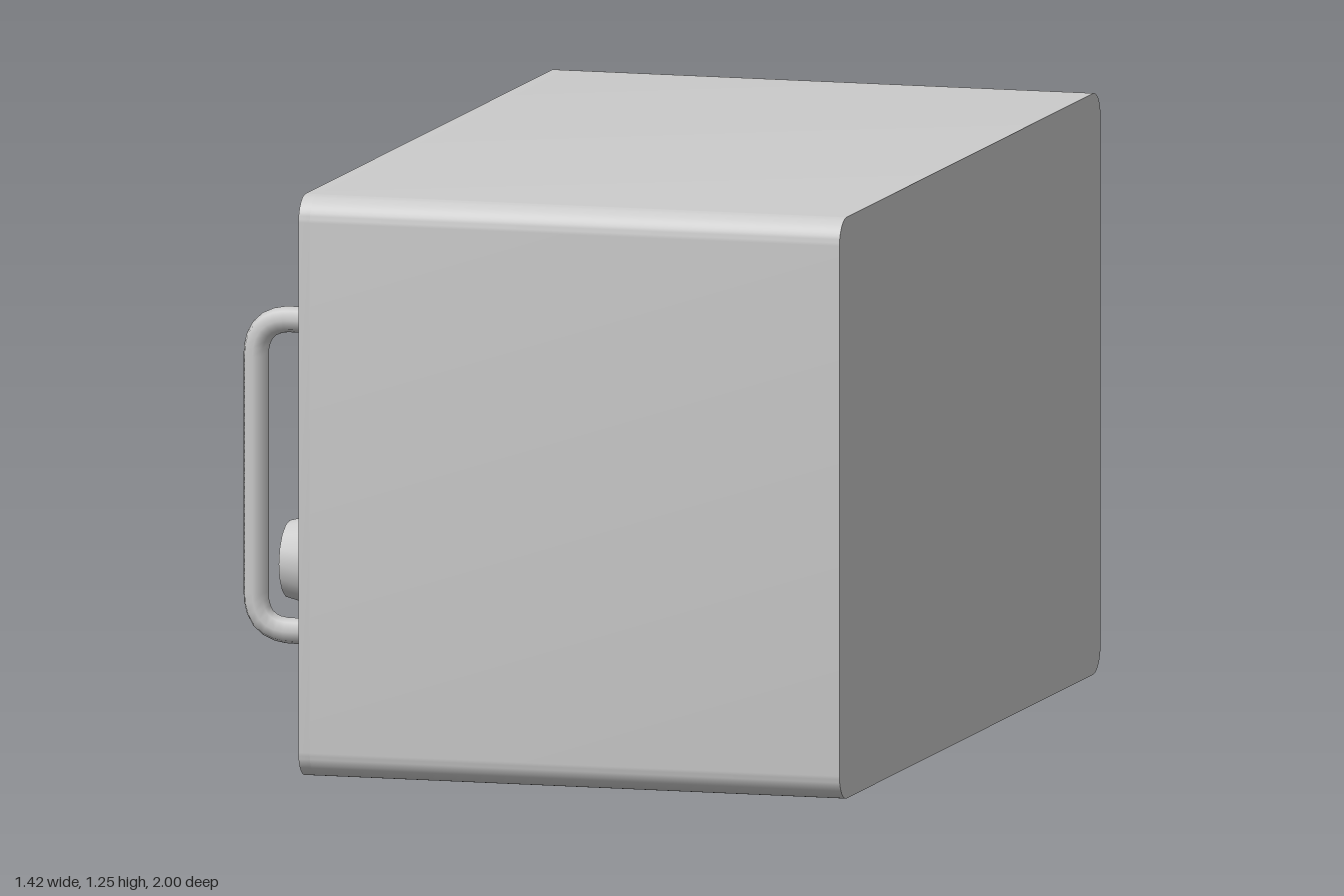
import * as THREE from 'three';
import { toCreasedNormals } from 'three/addons/utils/BufferGeometryUtils.js';

const grey = new THREE.MeshStandardMaterial({ color: 0xcccccc });

function add(parent, name, geometry, x = 0, y = 0, z = 0) {
  const mesh = new THREE.Mesh(geometry, grey);
  mesh.name = name;
  mesh.position.set(x, y, z);
  parent.add(mesh);
  return mesh;
}

// Closed outline of a rectangle with rounded corners
function roundedRect(x0, y0, x1, y1, r) {
  const s = new THREE.Shape();
  s.absarc(x1 - r, y0 + r, r, -Math.PI / 2, 0);
  s.absarc(x1 - r, y1 - r, r, 0, Math.PI / 2);
  s.absarc(x0 + r, y1 - r, r, Math.PI / 2, Math.PI);
  s.absarc(x0 + r, y0 + r, r, Math.PI, Math.PI * 1.5);
  s.closePath();
  return s;
}

function rect(x0, y0, x1, y1) {
  return new THREE.Shape([[x0, y0], [x1, y0], [x1, y1], [x0, y1]].map(p => new THREE.Vector2(...p)));
}

// Extrusion of a shape between two depths, smooth round its curves
function slab(shape, z0, z1, segments = 6, holes = []) {
  shape.holes.push(...holes);
  const g = new THREE.ExtrudeGeometry(shape, { depth: z1 - z0, bevelEnabled: false, curveSegments: segments });
  g.translate(0, 0, z0);
  return toCreasedNormals(g, 0.6);
}

function createHandle(parent, name, x) {
  const V = (y, z) => new THREE.Vector3(x, y, z);
  const low = 0.295, high = 0.965, out = 0.625, r = 0.08;
  const path = new THREE.CurvePath();
  path.add(new THREE.LineCurve3(V(low, 0.46), V(low, out - r)));
  path.add(new THREE.QuadraticBezierCurve3(V(low, out - r), V(low, out), V(low + r, out)));
  path.add(new THREE.LineCurve3(V(low + r, out), V(high - r, out)));
  path.add(new THREE.QuadraticBezierCurve3(V(high - r, out), V(high, out), V(high, out - r)));
  path.add(new THREE.LineCurve3(V(high, out - r), V(high, 0.46)));
  add(parent, name, new THREE.TubeGeometry(path, 48, 0.028, 8));
}

export function createModel() {
  const model = new THREE.Group();
  model.name = 'radioUnit';

  // Control side: local x runs along the case, local z points out of the panel (-x)
  const side = new THREE.Group();
  side.name = 'controlSide';
  side.rotation.y = -Math.PI / 2;
  model.add(side);

  // Case with a raised rim around the control panel
  const floor = 0.465, face = 0.475;
  add(side, 'case', slab(roundedRect(-0.96, 0, 1, 1.25, 0.055), -0.71, floor));
  add(side, 'panelRim', slab(roundedRect(-0.96, 0, 1, 1.25, 0.055), floor, 0.49, 6,
    [rect(-0.92, 0.04, 0.96, 1.21)]));

  // Two thin plates side by side on the panel
  add(side, 'sliderPanel', slab(rect(-0.76, 0.1, -0.215, 1.14), floor, face));
  add(side, 'dialPanel', slab(rect(-0.195, 0.1, 0.8, 1.14), floor, face));

  // Slider track with its slot, stem and grip
  add(side, 'sliderTrack', slab(rect(-0.6, 0.2, -0.4, 1.03), floor, 0.515, 1,
    [rect(-0.525, 0.25, -0.475, 0.98)]));
  add(side, 'sliderStem', new THREE.BoxGeometry(0.015, 0.02, 0.1), -0.5, 0.28, 0.515);
  const grip = new THREE.Shape([[-0.05, 0.555], [0.05, 0.555], [0.05, 0.6], [0.025, 0.628], [-0.025, 0.628], [-0.05, 0.6]]
    .map(p => new THREE.Vector2(...p)));
  const gripGeometry = slab(grip, -0.025, 0.025, 1);
  gripGeometry.rotateX(Math.PI / 2);
  add(side, 'sliderGrip', gripGeometry, -0.5, 0.28, 0);

  // Display window
  add(side, 'displayFrame', slab(rect(-0.07, 0.83, 0.71, 1.07), floor, 0.52, 1,
    [rect(-0.035, 0.865, 0.675, 1.035)]));
  add(side, 'displayScreen', slab(rect(-0.04, 0.86, 0.68, 1.04), floor, 0.49));

  // Arched dial plate with a half-ring window
  const cx = 0.32, cy = 0.36;
  const arch = () => {
    const s = new THREE.Shape();
    s.moveTo(cx - 0.43, 0.165);
    s.lineTo(cx + 0.43, 0.165);
    s.absarc(cx, cy, 0.43, 0, Math.PI);
    s.closePath();
    return s;
  };
  const ring = new THREE.Path();
  ring.absarc(cx, cy + 0.02, 0.355, 0, Math.PI);
  ring.absarc(cx, cy + 0.02, 0.2, Math.PI, 0, true);
  ring.closePath();
  add(side, 'dialBack', slab(arch(), floor, 0.52, 10));
  add(side, 'dialPlate', slab(arch(), 0.52, 0.545, 10, [ring]));

  // Tapered knob and its pointer ridge
  const knob = new THREE.CylinderGeometry(0.083, 0.125, 0.165, 16);
  knob.rotateX(Math.PI / 2);
  add(side, 'dialKnob', knob, cx, 0.365, 0.6275);
  const ridge = new THREE.Shape([[0, 0.545], [-0.15, 0.545], [-0.107, 0.712], [0, 0.712]]
    .map(p => new THREE.Vector2(...p)));
  const ridgeGeometry = slab(ridge, -0.015, 0.015, 1);
  ridgeGeometry.rotateX(Math.PI / 2);
  add(side, 'knobPointer', ridgeGeometry, cx, 0.365, 0);

  // Carrying handles at both ends of the panel
  createHandle(side, 'backHandle', -0.82);
  createHandle(side, 'frontHandle', 0.86);

  // Speaker plate and twelve-sided cover on the back
  add(model, 'speakerPlate', slab(roundedRect(-0.3, 0.225, 0.51, 1.03, 0.08), -0.98, -0.95, 4));
  const cover = new THREE.CylinderGeometry(0.304, 0.304, 0.03, 12).toNonIndexed();
  cover.rotateY(Math.PI / 12);
  cover.rotateX(Math.PI / 2);
  cover.computeVertexNormals();
  add(model, 'speakerCover', cover, 0.105, 0.6275, -0.985);

  return model;
}
